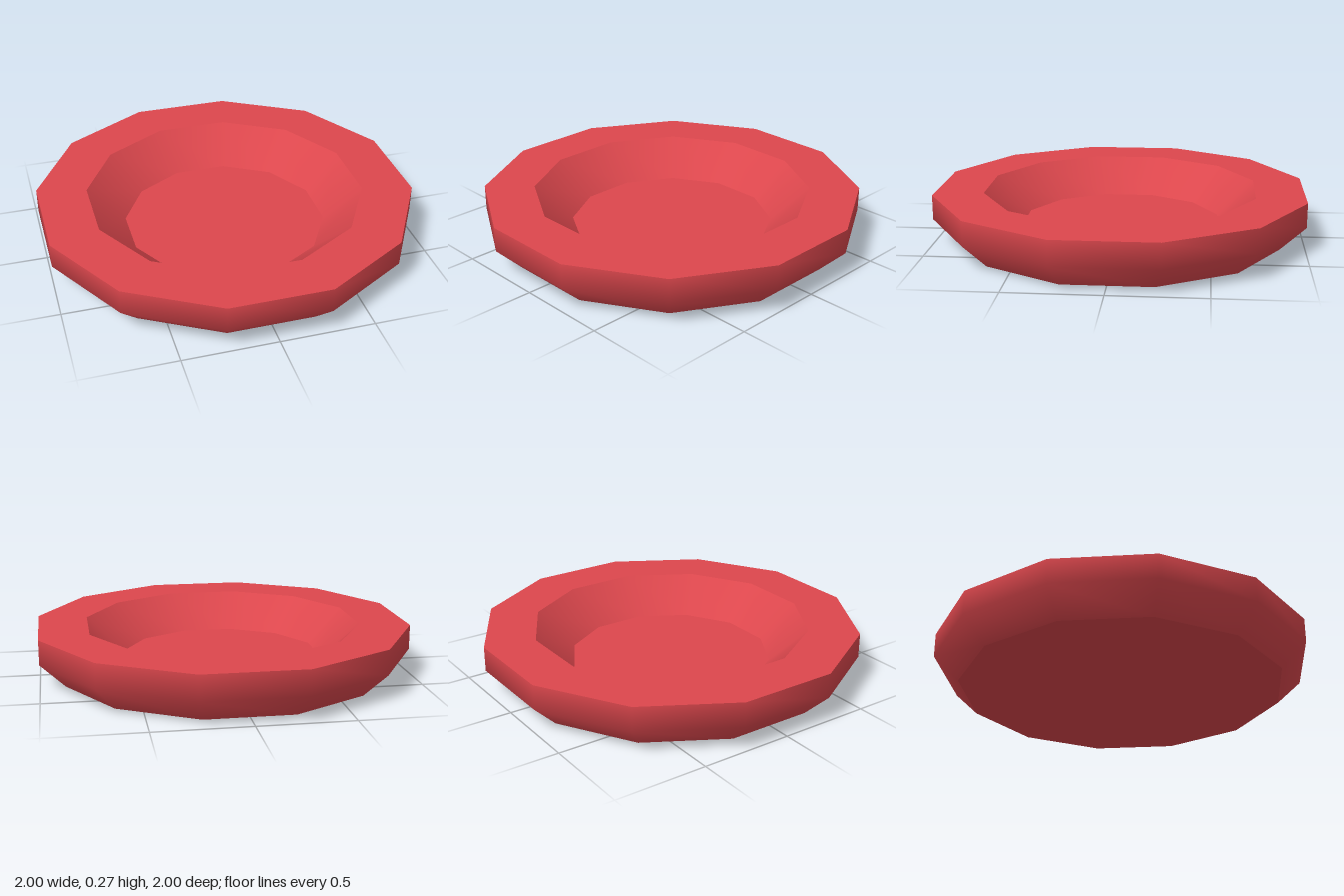
import * as THREE from 'three';

const SIDES = 12;
const K = 1 / Math.cos(Math.PI / SIDES); // flat-to-centre distance -> corner radius
const TOP = 0.267, MID = 0.133, FLOOR = 0.077;

export function createModel() {
  const group = new THREE.Group();
  group.name = 'dish';
  const red = new THREE.MeshStandardMaterial({ color: 0xdc474d });
  red.name = 'red';

  // Each band is its own lathe: smooth around, sharp where bands meet
  const band = (name, profile) => {
    const points = profile.map(([r, y]) => new THREE.Vector2(r * K, y));
    const geometry = new THREE.LatheGeometry(points, SIDES, Math.PI / SIDES);
    const mesh = new THREE.Mesh(geometry, red);
    mesh.name = name;
    group.add(mesh);
  };

  // Profile runs from the underside outward, up, over the rim and into the bowl
  band('base', [[0, 0], [0.867, 0]]);
  band('outerWall', [[0.867, 0], [1, MID], [1, TOP]]);
  band('rim', [[1, TOP], [0.733, TOP]]);
  band('innerWall', [[0.733, TOP], [0.535, FLOOR]]);
  band('bowlFloor', [[0.535, FLOOR], [0, FLOOR]]);

  return group;
}
